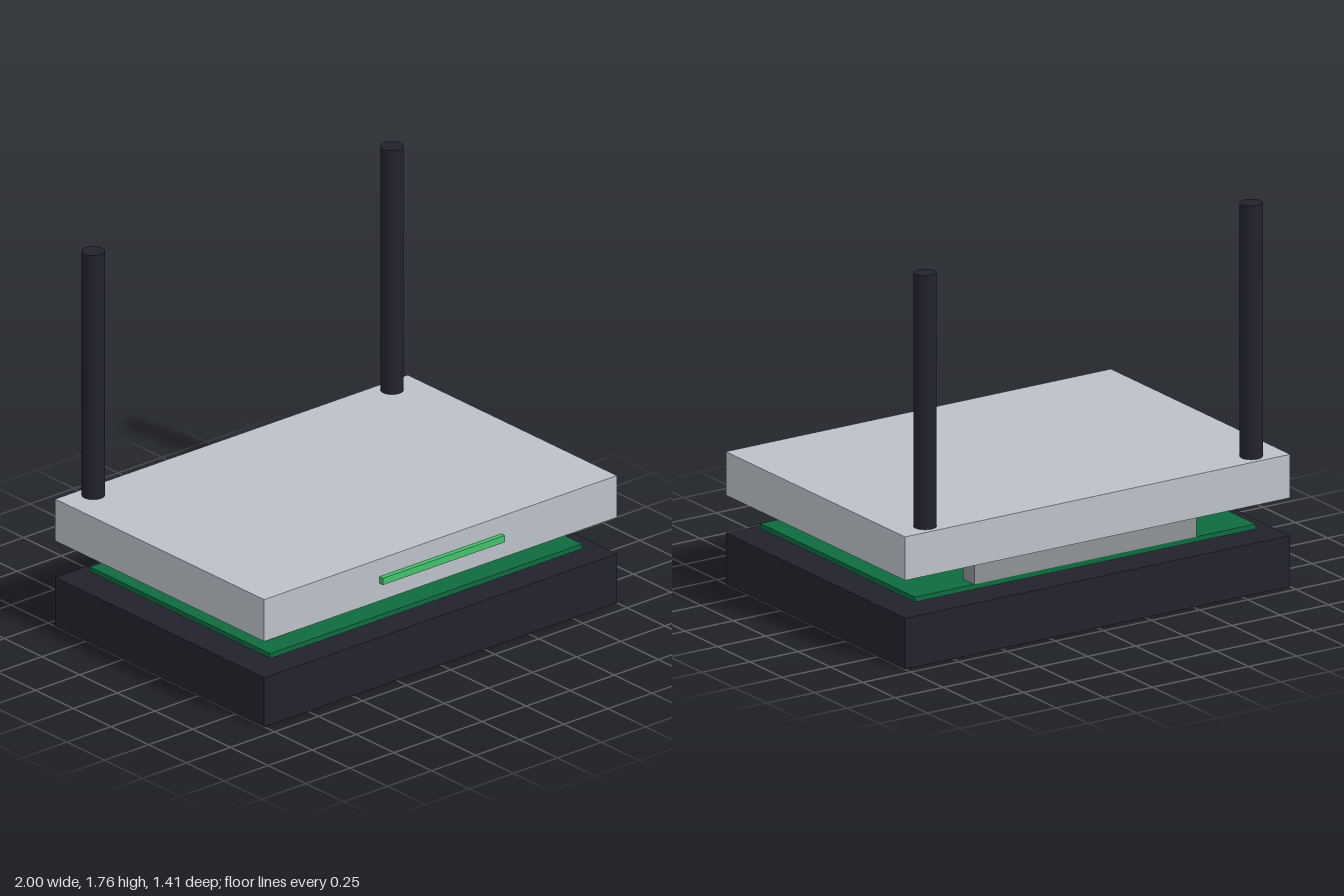
import * as THREE from 'three';

const mat = (name, color) => {
  const m = new THREE.MeshStandardMaterial({ color });
  m.name = name;
  return m;
};

export function createModel() {
  const group = new THREE.Group();
  const dark = mat('dark plastic', 0x22222d);
  const lidGrey = mat('light grey plastic', 0xbcc1c9);
  const metal = mat('grey metal', 0x8f9397);
  const board = mat('board green', 0x0e6b3e);
  const light = mat('light green', 0x43c06c);
  const gold = mat('gold', 0xc09c3f);

  // Box given by its [min, max] extents on each axis
  const box = (name, material, [x0, x1], [y0, y1], [z0, z1]) => {
    const mesh = new THREE.Mesh(new THREE.BoxGeometry(x1 - x0, y1 - y0, z1 - z0), material);
    mesh.position.set((x0 + x1) / 2, (y0 + y1) / 2, (z0 + z1) / 2);
    mesh.name = name;
    group.add(mesh);
  };

  // Case: bottom tray and raised lid with a status light
  box('base', dark, [-1, 1], [0, 0.232], [-0.705, 0.682]);
  box('lid', lidGrey, [-1, 1], [0.404, 0.602], [-0.705, 0.682]);
  box('statusLight', light, [-0.345, 0.345], [0.487, 0.519], [0.67, 0.705]);

  // Circuit board and its components
  const top = 0.28;
  box('circuitBoard', board, [-0.885, 0.885], [0.257, top], [-0.61, 0.587]);
  box('portBlock', metal, [-0.577, 0.577], [top, 0.406], [-0.61, -0.522]);
  box('processor', dark, [-0.54, -0.235], [top, 0.326], [-0.125, 0.18]);
  box('frontMemoryChip', dark, [0.363, 0.557], [top, 0.316], [0.245, 0.352]);
  box('rearMemoryChip', dark, [-0.485, -0.29], [top, 0.316], [-0.412, -0.305]);
  box('radioShield', metal, [0.355, 0.56], [top, 0.316], [-0.345, -0.14]);
  box('connector', gold, [-0.817, -0.65], [top, 0.349], [0.43, 0.475]);

  // Pair of antennas standing on the lid
  const rod = new THREE.CylinderGeometry(0.05, 0.05, 1.155, 32);
  for (const side of [1, -1]) {
    const antenna = new THREE.Mesh(rod, dark);
    antenna.position.set(side * 0.847, 1.1785, -0.631);
    antenna.name = side > 0 ? 'leftAntenna' : 'rightAntenna';
    group.add(antenna);
  }

  return group;
}
